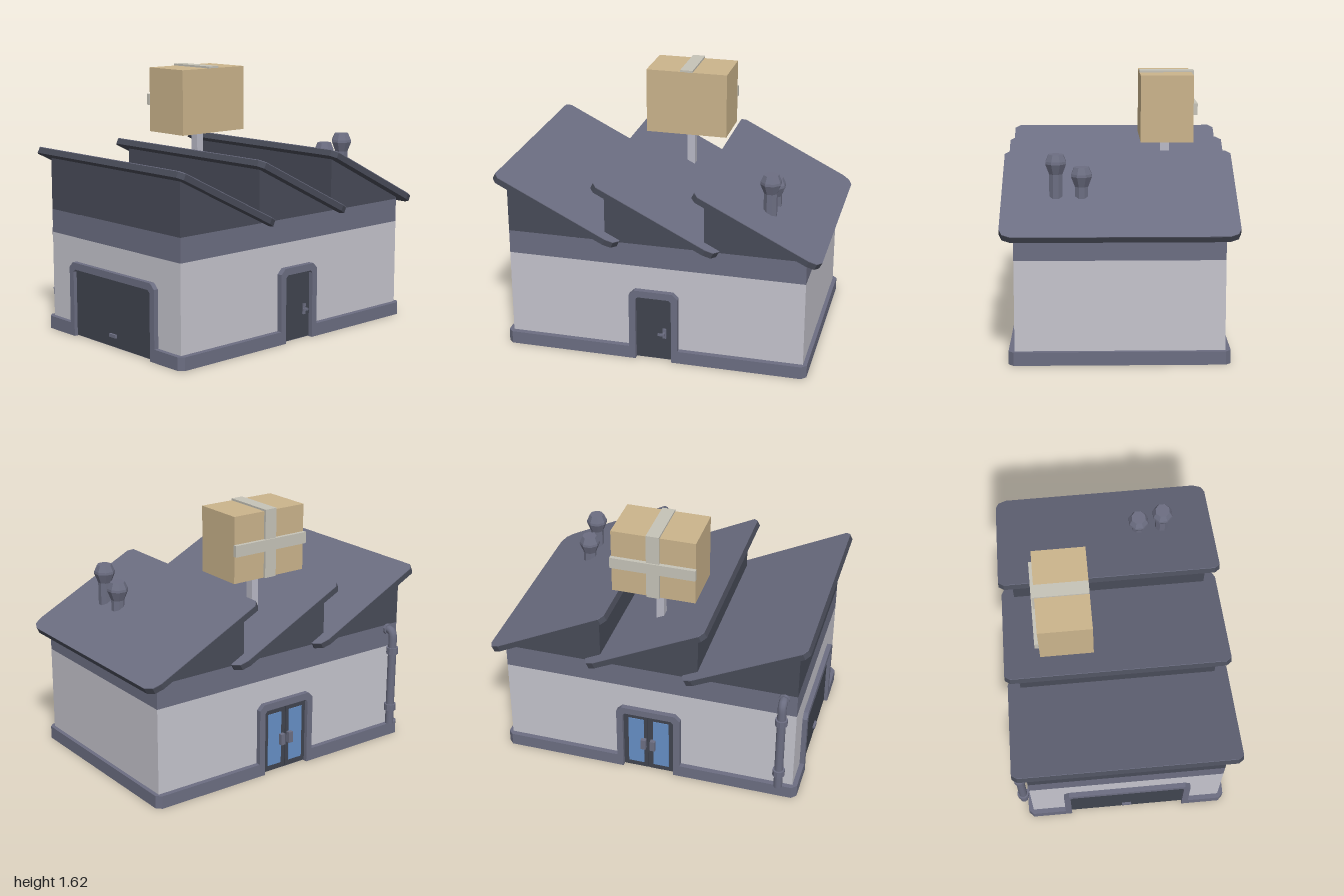
import * as THREE from 'three';

const mat = (name, color) => {
  const m = new THREE.MeshStandardMaterial({ color });
  m.name = name;
  return m;
};

const flat = (geo) => {
  const g = geo.index ? geo.toNonIndexed() : geo;
  g.computeVertexNormals();
  return g;
};

const shapeOf = (pts) => new THREE.Shape(pts.map(([x, y]) => new THREE.Vector2(x, y)));
const extrude = (pts, depth) => new THREE.ExtrudeGeometry(shapeOf(pts), { depth, bevelEnabled: false });

export function createModel() {
  const root = new THREE.Group();
  root.name = 'factory';
  const wall = mat('pale wall', 0xc5c4cd);
  const slate = mat('slate', 0x6c6e82);
  const dark = mat('dark slate', 0x484b58);
  const charcoal = mat('charcoal door', 0x40444f);
  const glass = mat('blue glass', 0x668fc6);
  const card = mat('cardboard', 0xcbb48c);
  const tape = mat('tape', 0xc6c3b8);
  const steel = mat('light steel', 0xb9b9c6);

  const add = (name, geo, material, x = 0, y = 0, z = 0, parent = root) => {
    const m = new THREE.Mesh(geo, material);
    m.name = name;
    m.position.set(x, y, z);
    parent.add(m);
    return m;
  };
  // box given by its min and max corners
  const box = (name, material, x0, x1, y0, y1, z0, z1, parent = root) =>
    add(name, new THREE.BoxGeometry(x1 - x0, y1 - y0, z1 - z0), material,
      (x0 + x1) / 2, (y0 + y1) / 2, (z0 + z1) / 2, parent);

  // walls with a painted upper band
  const X0 = -0.93, X1 = 0.91, Z0 = -0.6, Z1 = 0.62;
  box('walls', wall, X0, X1, 0.005, 0.615, Z0, Z1);
  box('upperBand', slate, X0, X1, 0.615, 0.762, Z0, Z1);

  // plinth: chamfered outline, notched at the three doorways
  const c = 0.03, bx0 = -0.96, bx1 = 0.935, bz0 = -0.632, bz1 = 0.655;
  const outline = [
    [bx0 + c, bz1], [-0.125, bz1], [-0.125, Z1], [0.1, Z1], [0.1, bz1], [bx1 - c, bz1],
    [bx1, bz1 - c], [bx1, bz0 + c],
    [bx1 - c, bz0], [0.152, bz0], [0.152, Z0], [-0.176, Z0], [-0.176, bz0], [bx0 + c, bz0],
    [bx0, bz0 + c], [bx0, -0.35], [X0, -0.35], [X0, 0.38], [bx0, 0.38], [bx0, bz1 - c],
  ].map(([x, z]) => [x, -z]);
  add('plinth', extrude(outline, 0.08), slate).rotation.x = -Math.PI / 2;

  // doorway: chamfered frame around a dark panel, facing local +z
  const doorway = (name, half, depth, x, z, turn) => {
    const g = new THREE.Group();
    g.name = name;
    g.position.set(x, 0, z);
    g.rotation.y = turn;
    root.add(g);
    const o = half + 0.04, top = 0.465, inner = 0.422, k = 0.033, j = 0.016;
    add('doorFrame', extrude([
      [-o, 0], [-half, 0], [-half, inner - j], [-half + j, inner], [half - j, inner],
      [half, inner - j], [half, 0], [o, 0], [o, top - k], [o - k, top], [-o + k, top], [-o, top - k],
    ], depth), slate, 0, 0, 0, g);
    box('doorPanel', charcoal, -half, half, 0.005, inner, -0.01, 0.007, g);
    return g;
  };

  const front = doorway('frontDoor', 0.1125, 0.035, -0.0125, Z1, 0);
  box('handlePlate', slate, 0.055, 0.077, 0.15, 0.215, 0.005, 0.015, front);
  box('handleStem', slate, 0.06, 0.072, 0.178, 0.192, 0.012, 0.036, front);
  box('handleLever', slate, 0.03, 0.072, 0.178, 0.192, 0.032, 0.042, front);

  const back = doorway('backDoor', 0.164, 0.032, -0.012, Z0, Math.PI);
  for (const s of [-1, 1]) {
    const cx = s * 0.08;
    box('doorLeaf', charcoal, cx - 0.073, cx + 0.073, 0.01, 0.41, 0.005, 0.014, back);
    box('doorGlass', glass, cx - 0.05, cx + 0.05, 0.045, 0.385, 0.012, 0.018, back);
    box('pullHandle', slate, s * 0.03 - 0.016, s * 0.03 + 0.016, 0.17, 0.24, 0.012, 0.042, back);
  }

  const garage = doorway('garageDoor', 0.365, 0.03, X0, 0.015, -Math.PI / 2);
  box('garageHandle', slate, -0.03, 0.03, 0.065, 0.085, 0.005, 0.022, garage);

  // sawtooth roof: three gable prisms under sloping slabs
  const slope = Math.atan(0.5), L = 0.845;
  const slabHalf = [[0, 0.657], [0.03, 0.69], [L - 0.075, 0.69], [L - 0.025, 0.672], [L, 0.62]];
  const slabPts = [...slabHalf, ...slabHalf.map(([u, w]) => [u, -w]).reverse()];
  for (let i = 0; i < 3; i++) {
    const gx = X0 + i * 0.612;
    add('roofGable', extrude([[gx, 0.76], [gx + 0.616, 0.76], [gx + 0.616, 0.775], [gx, 1.085]], Z1 - Z0),
      dark, 0, 0, Z0);
    const roof = new THREE.Group();
    roof.name = 'roofSlab';
    roof.position.set(-0.98 + i * 0.613, 1.15, 0.01);
    roof.rotation.z = -slope;
    root.add(roof);
    add('roofEdge', extrude(slabPts, 0.036), dark, 0, -0.04, 0, roof).rotation.x = -Math.PI / 2;
    add('roofTop', extrude(slabPts, 0.004), slate, 0, -0.004, 0, roof).rotation.x = -Math.PI / 2;
  }

  // flared chimneys
  const stack = [[0.042, 0], [0.042, 0.3], [0.066, 0.36], [0.064, 0.375], [0.046, 0.415], [0.0001, 0.415]]
    .map(([r, y]) => new THREE.Vector2(r, y));
  for (const [z, top] of [[0.38, 1.19], [0.23, 1.115]]) {
    add('chimney', flat(new THREE.LatheGeometry(stack, 8, Math.PI / 8)), slate, 0.643, top - 0.415, z);
  }

  // downpipe with elbow and collars
  const px = -0.85, pz = -0.657;
  const path = new THREE.CurvePath();
  const P = (y, z) => new THREE.Vector3(px, y, z);
  path.add(new THREE.LineCurve3(P(0.1, pz), P(0.69, pz)));
  path.add(new THREE.QuadraticBezierCurve3(P(0.69, pz), P(0.733, pz), P(0.733, pz + 0.035)));
  path.add(new THREE.LineCurve3(P(0.733, pz + 0.035), P(0.733, Z0 + 0.01)));
  add('downpipe', new THREE.TubeGeometry(path, 40, 0.027, 10), slate);
  add('downpipeEnd', new THREE.CylinderGeometry(0.027, 0.027, 0.01, 10), slate, px, 0.105, pz);
  for (const y of [0.215, 0.603]) {
    add('pipeCollar', flat(new THREE.CylinderGeometry(0.038, 0.038, 0.042, 10)), slate, px, y, pz);
  }
  add('wallCollar', flat(new THREE.CylinderGeometry(0.035, 0.035, 0.02, 10)), slate, px, 0.733, Z0 - 0.008)
    .rotation.x = Math.PI / 2;

  // parcel on a post, with crossed tape
  box('signPost', steel, -0.026, 0.022, 0.85, 1.21, -0.317, -0.262);
  box('parcel', card, -0.26, 0.257, 1.203, 1.612, -0.453, -0.13);
  box('topTape', tape, -0.042, 0.038, 1.61, 1.624, -0.468, -0.13);
  box('backTape', tape, -0.042, 0.038, 1.203, 1.624, -0.468, -0.45);
  box('crossTape', tape, -0.264, 0.261, 1.372, 1.442, -0.477, -0.452);

  return root;
}
